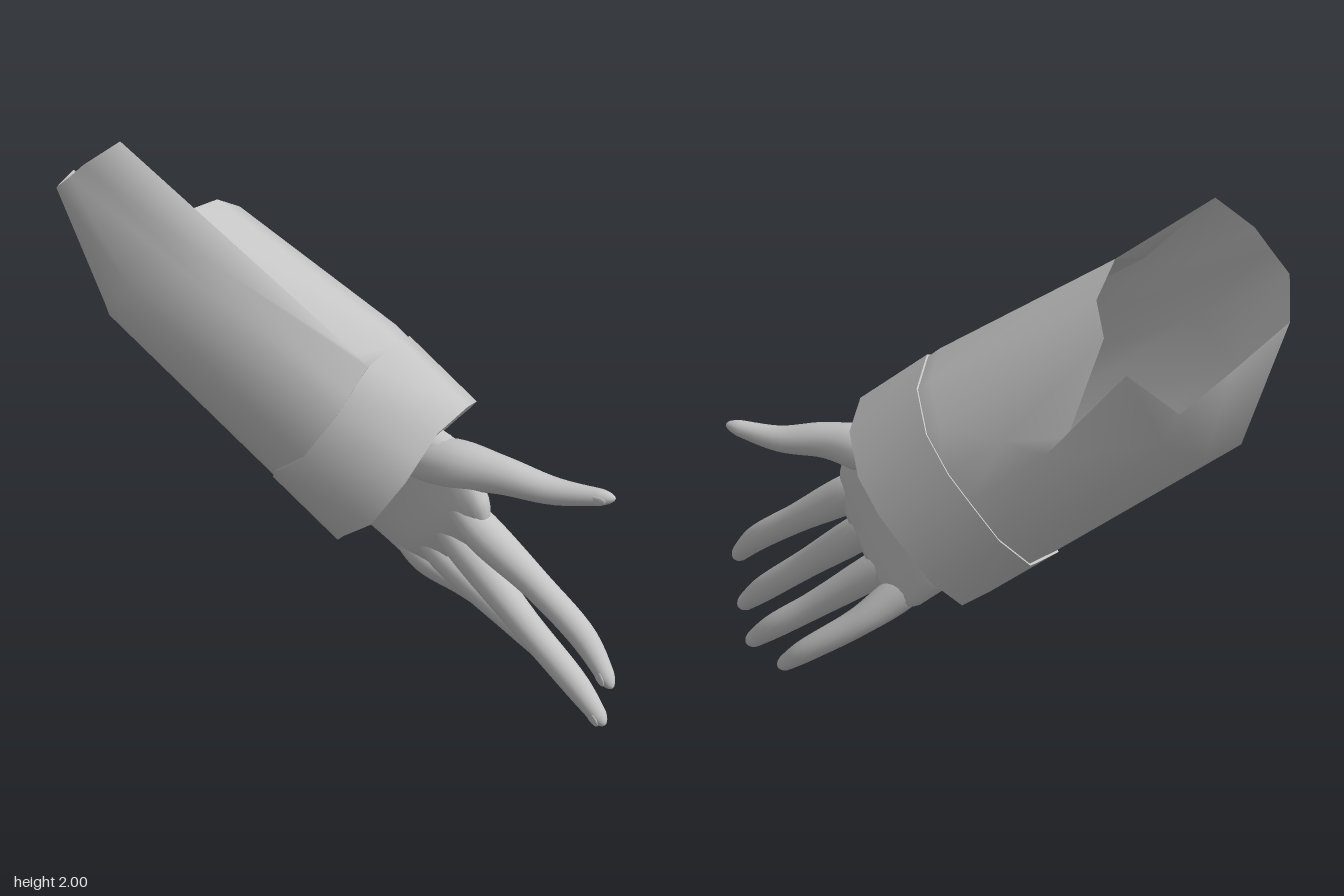
import * as THREE from 'three';

const V = (a) => new THREE.Vector3(...a);
const cloth = new THREE.MeshStandardMaterial({ color: 0xc4c4c4, side: THREE.DoubleSide });
cloth.name = 'pale grey';

// Surface through closed rings of points, optionally capped at the far end
function loft(rings, capEnd = false) {
  const n = rings[0].length, pos = [], idx = [];
  rings.forEach((r) => r.forEach((p) => pos.push(p.x, p.y, p.z)));
  for (let i = 0; i < rings.length - 1; i++) {
    for (let j = 0; j < n; j++) {
      const a = i * n + j, b = i * n + (j + 1) % n;
      idx.push(a, b, a + n, b, b + n, a + n);
    }
  }
  if (capEnd) {
    const last = rings.length - 1;
    const mid = rings[last].reduce((s, p) => s.add(p), new THREE.Vector3()).divideScalar(n);
    const c = pos.length / 3;
    pos.push(mid.x, mid.y, mid.z);
    for (let j = 0; j < n; j++) idx.push(last * n + j, last * n + (j + 1) % n, c);
  }
  const g = new THREE.BufferGeometry();
  g.setAttribute('position', new THREE.Float32BufferAttribute(pos, 3));
  g.setIndex(idx);
  g.computeVertexNormals();
  return g;
}

function addPart(group, name, geometry) {
  const m = new THREE.Mesh(geometry, cloth);
  m.name = name;
  group.add(m);
  return m;
}

// Arm axis (pointing to the hand) and the centre of the cuff opening
const AXIS = V([0.578, -0.627, 0.522]).normalize();
const CENTRE = V([0.26, 0.78, 0.08]);

// Each column: cuff rim point, torn edge point, distance of the last straight ring
const COLUMNS = [
  [[0.42, 1.12, 0.29], [-0.32, 1.78, -0.31], 0.4],
  [[0.28, 1.07, 0.36], [-0.44, 1.76, -0.29], 0.4],
  [[0.2, 0.975, 0.38], [-0.64, 2.0, -0.42], 1.0],
  [[0.15, 0.91, 0.39], [-0.76, 1.9, -0.49], 0.9],
  [[0.03, 0.745, 0.36], [-0.795, 1.835, -0.555], 1.2],
  [[-0.015, 0.61, 0.18], [-0.83, 1.77, -0.63], 1.21],
  [[0.06, 0.44, -0.09], [-0.7, 1.72, -0.9], 1.2],
  [[0.2, 0.45, -0.17], [-0.51, 1.55, -0.86], 1.15],
  [[0.34, 0.6, -0.22], [-0.31, 1.44, -0.89], 1.1],
  [[0.43, 0.74, -0.16], [-0.18, 1.54, -0.74], 0.7],
  [[0.485, 0.83, -0.1], [-0.04, 1.26, -0.57], 0.6],
  [[0.53, 0.95, 0.0], [-0.17, 1.61, -0.57], 0.4],
  [[0.51, 1.06, 0.15], [-0.2, 1.69, -0.43], 0.4],
];

// Ring of the sleeve outline, scaled about the axis and slid back along it
function ring(scale, back) {
  return COLUMNS.map(([rim, , straight]) => V(rim).sub(CENTRE).multiplyScalar(scale).add(CENTRE)
    .addScaledVector(AXIS, -(back === undefined ? straight : back)));
}

function makeSleeve() {
  const g = new THREE.Group();
  g.name = 'sleeve';
  addPart(g, 'sleeveBody', loft([ring(0.98, 0.32), ring(0.985), COLUMNS.map((c) => V(c[1]))].reverse()));
  // Folded cuff with a thick lip
  addPart(g, 'cuffOuter', loft([ring(1, 0.34), ring(1, 0)]));
  addPart(g, 'cuffLip', loft([ring(1, 0), ring(0.89, 0)]));
  addPart(g, 'cuffLining', loft([ring(0.89, 0), ring(0.92, 0.34)]));
  addPart(g, 'cuffSeam', loft([ring(0.98, 0.34), ring(1, 0.34)]));
  return g;
}

// Palm sections: centre, width direction, half width, half thickness
const PALM = [
  [[-0.07, 1.06, -0.16], [0.29, 0.76, 0.57], 0.14, 0.095],
  [[0.03, 0.96, -0.1], [0.29, 0.76, 0.57], 0.18, 0.095],
  [[0.16, 0.845, -0.01], [0.29, 0.76, 0.57], 0.25, 0.1],
  [[0.293, 0.73, 0.105], [0.26, 0.73, 0.62], 0.315, 0.095],
  [[0.37, 0.605, 0.21], [0.2, 0.66, 0.72], 0.315, 0.078],
  [[0.41, 0.52, 0.25], [0.17, 0.63, 0.76], 0.25, 0.045],
];
const PALM_NORMAL = V([0.87, 0.2, -0.45]).normalize();
const soften = (v) => Math.sign(v) * Math.abs(v) ** 0.8;

function makePalm() {
  const centres = new THREE.CatmullRomCurve3(PALM.map((s) => V(s[0])));
  const widths = new THREE.CatmullRomCurve3(PALM.map((s) => V(s[1])));
  const sizes = new THREE.CatmullRomCurve3(PALM.map((s) => V([s[2], s[3], 0])));
  const rings = [];
  for (let i = 0; i <= 20; i++) {
    const t = i / 20, c = centres.getPoint(t), w = widths.getPoint(t).normalize(), s = sizes.getPoint(t);
    rings.push(Array.from({ length: 32 }, (_, j) => {
      const a = (j / 32) * Math.PI * 2;
      return c.clone().addScaledVector(w, s.x * soften(Math.cos(a)))
        .addScaledVector(PALM_NORMAL, s.y * soften(Math.sin(a)));
    }));
  }
  return loft(rings, true);
}

// Digits: path from inside the palm to the tip, with a radius at each point
const DIGITS = {
  thumb: [[[0.2, 0.86, 0.07], [0.365, 0.895, 0.28], [0.5, 0.9, 0.43], [0.65, 0.875, 0.56], [0.815, 0.895, 0.715]],
    [0.06, 0.093, 0.07, 0.05, 0.025]],
  indexFinger: [[[0.355, 0.78, 0.28], [0.43, 0.68, 0.41], [0.58, 0.52, 0.59], [0.7, 0.37, 0.76], [0.755, 0.23, 0.895]],
    [0.04, 0.074, 0.057, 0.05, 0.028]],
  middleFinger: [[[0.325, 0.685, 0.19], [0.405, 0.57, 0.31], [0.56, 0.34, 0.55], [0.69, 0.16, 0.73], [0.76, 0.04, 0.84]],
    [0.04, 0.07, 0.057, 0.05, 0.028]],
  ringFinger: [[[0.295, 0.59, 0.09], [0.385, 0.47, 0.19], [0.59, 0.25, 0.38], [0.72, 0.12, 0.5], [0.8, 0.01, 0.6]],
    [0.04, 0.068, 0.054, 0.048, 0.028]],
  littleFinger: [[[0.26, 0.51, 0.0], [0.355, 0.41, 0.07], [0.5, 0.29, 0.125], [0.68, 0.14, 0.24], [0.755, 0.04, 0.33]],
    [0.04, 0.068, 0.055, 0.044, 0.025]],
};

function makeDigit(path, radii) {
  const curve = new THREE.CatmullRomCurve3(path.map(V));
  const size = new THREE.CatmullRomCurve3(radii.map((r, i) => V([r, i, 0])));
  const rings = [], steps = 30;
  for (let i = 0; i <= steps; i++) {
    const t = i < 22 ? (i / 22) * 0.93 : 0.93 + 0.07 * Math.sin(((i - 22) / 8) * Math.PI / 2);
    const round = t > 0.93 ? Math.sqrt(Math.max(1e-4, 1 - ((t - 0.93) / 0.07) ** 2)) : 1;
    const r = size.getPoint(t).x * round, c = curve.getPoint(t), tan = curve.getTangent(t);
    const side = new THREE.Vector3().crossVectors(PALM_NORMAL, tan).normalize();
    const up = new THREE.Vector3().crossVectors(tan, side);
    rings.push(Array.from({ length: 16 }, (_, j) => {
      const a = (j / 16) * Math.PI * 2;
      return c.clone().addScaledVector(side, r * Math.cos(a)).addScaledVector(up, r * Math.sin(a));
    }));
  }
  return loft(rings, true);
}

// Thin fingernail on the back of a digit
function addNail(group, name, path, radii) {
  const curve = new THREE.CatmullRomCurve3(path.map(V));
  const tan = curve.getTangent(0.93);
  const side = new THREE.Vector3().crossVectors(PALM_NORMAL, tan).normalize();
  const up = new THREE.Vector3().crossVectors(tan, side);
  const nail = addPart(group, name + 'Nail', new THREE.SphereGeometry(1, 12, 8).scale(0.02, 0.006, 0.036));
  nail.quaternion.setFromRotationMatrix(new THREE.Matrix4().makeBasis(side, up, tan));
  nail.position.copy(curve.getPoint(0.93)).addScaledVector(up, -radii[4] * 1.05);
}

export function createModel() {
  const model = new THREE.Group();
  model.name = 'sleevedHand';
  model.add(makeSleeve());
  const hand = new THREE.Group();
  hand.name = 'hand';
  addPart(hand, 'palm', makePalm());
  for (const [name, [path, radii]] of Object.entries(DIGITS)) {
    addPart(hand, name, makeDigit(path, radii));
    addNail(hand, name, path, radii);
  }
  model.add(hand);
  return model;
}
